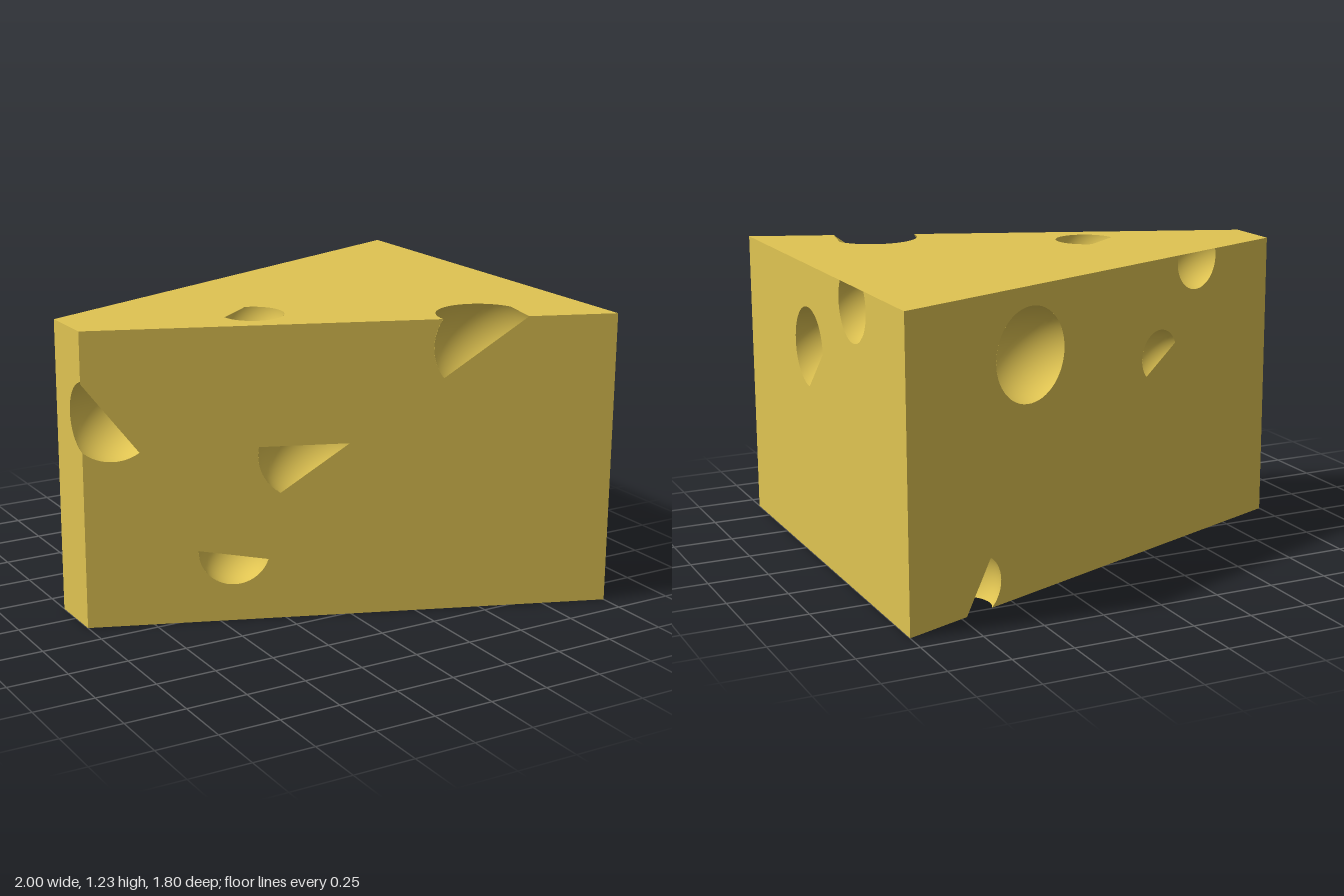
import * as THREE from 'three';

const V = (x, y, z) => new THREE.Vector3(x, y, z);
const H = 1.225;                          // wedge height
const side = (x) => 0.51 + 0.39 * x;      // half width along x

// Each flat side: its plane coordinates (a, b) mapped to 3D, and corners counter-clockwise from outside
const sides = {
  front: { at: (x, y) => V(x, y, side(x)), corners: [[-1, 0], [1, 0], [1, H], [-1, H]] },
  back: { at: (x, y) => V(x, y, -side(x)), corners: [[1, 0], [-1, 0], [-1, H], [1, H]] },
  right: { at: (z, y) => V(1, y, z), corners: [[0.9, 0], [-0.9, 0], [-0.9, H], [0.9, H]] },
  left: { at: (z, y) => V(-1, y, z), corners: [[-0.12, 0], [0.12, 0], [0.12, H], [-0.12, H]] },
  top: { at: (x, z) => V(x, H, z), corners: [[-1, 0.12], [1, 0.9], [1, -0.9], [-1, -0.12]] },
  bottom: { at: (x, z) => V(x, 0, z), corners: [[-1, -0.12], [1, -0.9], [1, 0.9], [-1, 0.12]] },
};
for (const s of Object.values(sides)) {
  s.polygon = s.corners.map(([a, b]) => s.at(a, b));
  s.plane = new THREE.Plane().setFromCoplanarPoints(...s.polygon.slice(0, 3));
}

// Round cavities: centre, radius, and the sides they open on.
// Each opening lists straight cuts [a, b, a, b]; the part left of the cut stays open.
const cavities = [
  { c: sides.front.at(-0.445, 0.3), r: 0.145, open: { front: [[-0.31, 0.255, -0.58, 0.305]] } },
  { c: sides.front.at(-0.18, 0.695), r: 0.187,
    open: { front: [[-0.01, 0.73, -0.35, 0.73], [-0.27, 0.535, -0.01, 0.73]] } },
  { c: V(-0.89, 0.88, 0.16), r: 0.186, open: { front: [[-0.79, 0.725, -1, 1.015]], left: [] } },
  { c: V(0.52, 1.11, 0.64), r: 0.218,
    open: { front: [[0.345, 0.985, 0.66, H]], top: [[0.66, 0.765, 0.695, 0.6]] } },
  { c: V(1, 0.885, 0.143), r: 0.165, open: { right: [[0.15, 0.72, -0.02, 0.885]] } },
  { c: V(1, 1.15, -0.37), r: 0.147, open: { right: [[-0.42, 1.0, -0.5, 1.07]] } },
  { c: V(-0.273, H, 0.185), r: 0.127, open: { top: [[-0.24, 0.06, -0.4, 0.185]] } },
  { c: sides.back.at(0.392, 0.957), r: 0.19, open: { back: [] } },
  { c: sides.back.at(-0.546, 1.195), r: 0.126, open: { back: [] } },
  { c: sides.back.at(-0.326, 0.822), r: 0.11, open: { back: [[-0.251, 0.749, -0.423, 0.864]] } },
  { c: V(0.697, 0.1, -0.685), r: 0.152,
    open: {
      back: [[0.601, 0.205, 0.725, 0]],
      bottom: [[0.816, -0.715, 0.689, -0.576], [0.725, -0.793, 0.816, -0.715]],
    } },
  { c: V(0.105, 0, 0.221), r: 0.188, open: { bottom: [[-0.085, 0.222, 0.1, 0.035]] } },
  { c: V(0.534, 0, -0.175), r: 0.247, open: { bottom: [[0.533, -0.423, 0.287, -0.175]] } },
  { c: V(-0.46, 0, -0.075), r: 0.139, open: { bottom: [[-0.341, -0.15, -0.576, -0.147]] } },
];

// Keep the part of a convex polygon behind a plane
function clip(poly, plane) {
  const out = [];
  poly.forEach((p, i) => {
    const q = poly[(i + 1) % poly.length];
    const dp = plane.distanceToPoint(p), dq = plane.distanceToPoint(q);
    if (dp <= 1e-7) out.push(p);
    if ((dp > 1e-7 && dq < -1e-7) || (dp < -1e-7 && dq > 1e-7)) out.push(p.clone().lerp(q, dp / (dp - dq)));
  });
  return out.length > 2 ? out : [];
}

// Plane standing on a side along the edge p to q, facing away from the edge's left
function edgePlane(p, q, n) {
  const normal = q.clone().sub(p).cross(n).normalize();
  return new THREE.Plane().setFromNormalAndCoplanarPoint(normal, p);
}

// Outline of a cavity's opening on one side
function opening({ c, r, open }, name) {
  const { plane, at } = sides[name], n = plane.normal;
  const d = plane.distanceToPoint(c);
  const radius = Math.sqrt(r * r - d * d);
  const foot = c.clone().addScaledVector(n, -d);
  const u = (Math.abs(n.y) > 0.5 ? V(0, 0, 1) : V(0, 1, 0)).cross(n).normalize();
  const v = n.clone().cross(u);
  let outline = [];
  for (let i = 0; i < 56; i++) {
    const t = (i / 56) * Math.PI * 2;
    outline.push(foot.clone().addScaledVector(u, radius * Math.cos(t)).addScaledVector(v, radius * Math.sin(t)));
  }
  for (const [a, b, e, f] of open[name]) outline = clip(outline, edgePlane(at(a, b), at(e, f), n));
  return outline;
}

// Cut a convex hole out of a convex polygon, leaving convex pieces
function subtract(poly, hole, n) {
  const pieces = [];
  let rest = poly;
  for (let i = 0; i < hole.length; i++) {
    const p = hole[i], q = hole[(i + 1) % hole.length];
    if (p.distanceTo(q) < 1e-5) continue;
    const plane = edgePlane(p, q, n);
    const outside = clip(rest, plane.clone().negate());
    if (outside.length) pieces.push(outside);
    rest = clip(rest, plane);
    if (!rest.length) return [poly];
  }
  return pieces;
}

// Mesh from convex polygons, with a normal for every point
function polygonMesh(name, polys, normalAt, material) {
  const pos = [], nor = [];
  for (const poly of polys) {
    for (let i = 1; i < poly.length - 1; i++) {
      for (const p of [poly[0], poly[i], poly[i + 1]]) {
        pos.push(p.x, p.y, p.z);
        nor.push(...normalAt(p).toArray());
      }
    }
  }
  const geo = new THREE.BufferGeometry();
  geo.setAttribute('position', new THREE.Float32BufferAttribute(pos, 3));
  geo.setAttribute('normal', new THREE.Float32BufferAttribute(nor, 3));
  const mesh = new THREE.Mesh(geo, material);
  mesh.name = name;
  return mesh;
}

export function createModel() {
  const group = new THREE.Group();
  group.name = 'cheeseWedge';
  const material = new THREE.MeshStandardMaterial({ color: 0xe0c452, side: THREE.DoubleSide });

  // Flat sides with their openings
  for (const [name, { polygon, plane }] of Object.entries(sides)) {
    let polys = [polygon];
    for (const cavity of cavities) {
      if (!cavity.open[name]) continue;
      const hole = opening(cavity, name);
      polys = polys.flatMap((p) => subtract(p, hole, plane.normal));
    }
    group.add(polygonMesh(name + 'Side', polys, () => plane.normal, material));
  }

  // Hollow cups: inward-facing spheres trimmed to the wedge
  cavities.forEach(({ c, r }, k) => {
    const pos = new THREE.SphereGeometry(r, 48, 28).toNonIndexed().attributes.position;
    const polys = [];
    for (let i = 0; i < pos.count; i += 3) {
      let tri = [2, 1, 0].map((j) => V(0, 0, 0).fromBufferAttribute(pos, i + j).add(c));
      for (const s of Object.values(sides)) tri = clip(tri, s.plane);
      if (tri.length) polys.push(tri);
    }
    group.add(polygonMesh('cavity' + (k + 1), polys, (p) => c.clone().sub(p).normalize(), material));
  });
  return group;
}
